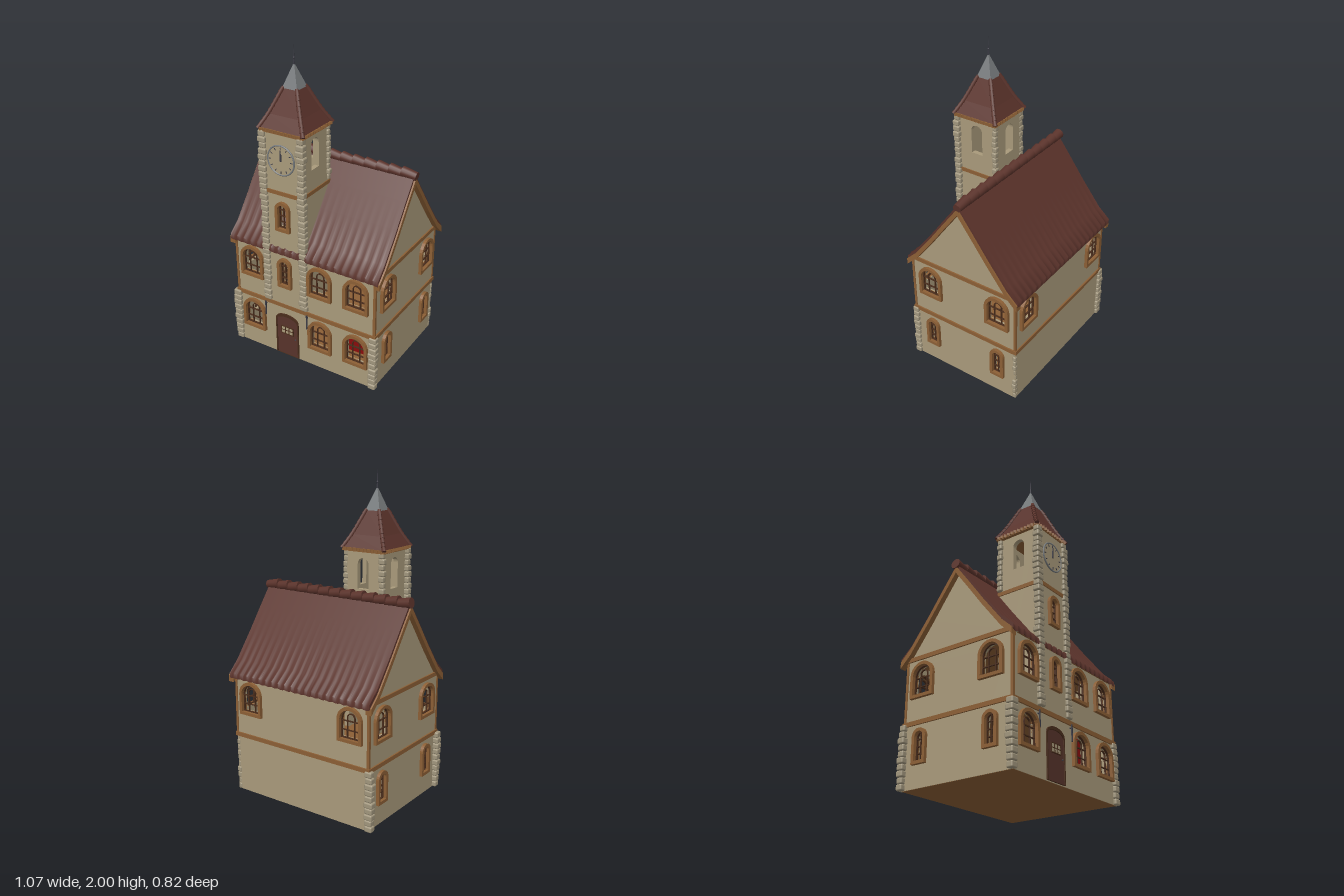
import * as THREE from 'three';
import { toCreasedNormals } from 'three/addons/utils/BufferGeometryUtils.js';
import { RoundedBoxGeometry } from 'three/addons/geometries/RoundedBoxGeometry.js';

const mat = (name, color) => Object.assign(new THREE.MeshStandardMaterial({ color }), { name });
const M = {
  wall: mat('plaster', 0xa99a7b), roof: mat('roof tile', 0x5b332b), trim: mat('timber trim', 0x8c5f35),
  bar: mat('dark wood', 0x4a2d1c), stone: mat('stone', 0xa1967d), metal: mat('grey metal', 0x777b7d),
  door: mat('door wood', 0x57332b), red: mat('red cloth', 0x8a0c0c), dark: mat('dark iron', 0x3c3c46),
};
let seed = 7;
const rnd = () => (seed = (seed * 16807) % 2147483647) / 2147483647 - 0.5;

function add(parent, name, geo, material, x = 0, y = 0, z = 0) {
  const m = new THREE.Mesh(geo, material);
  m.name = name;
  m.position.set(x, y, z);
  parent.add(m);
  return m;
}
const box = (parent, name, material, w, h, d, x, y, z) =>
  add(parent, name, new THREE.BoxGeometry(w, h, d), material, x, y, z);
const extrude = (shape, depth) => new THREE.ExtrudeGeometry(shape, { depth, bevelEnabled: false });

// Arched outline with its foot at (x, y)
function archPoints(x, y, w, h, rise = w * 0.48) {
  const pts = [new THREE.Vector2(x - w / 2, y), new THREE.Vector2(x + w / 2, y)];
  for (let i = 0; i <= 12; i++) {
    const a = (i / 12) * Math.PI;
    pts.push(new THREE.Vector2(x + Math.cos(a) * w / 2, y + h - rise + Math.sin(a) * rise));
  }
  return pts;
}
// Arched ring of even thickness t lying inside w by h
function archRing(x, y, w, h, t, depth) {
  const s = new THREE.Shape(archPoints(x, y, w, h));
  s.holes.push(new THREE.Path(archPoints(x, y + t, w - 2 * t, h - 2 * t)));
  return extrude(s, depth);
}

// Group whose local +z points outward from a wall plane
function face(parent, name, angle, cx, cz, dist) {
  const g = new THREE.Group();
  g.name = name;
  g.rotation.y = angle;
  g.position.set(cx + Math.sin(angle) * dist, 0, cz + Math.cos(angle) * dist);
  parent.add(g);
  return g;
}

function wall(g, w, y0, y1, holes) {
  const s = new THREE.Shape([[-w / 2, y0], [w / 2, y0], [w / 2, y1], [-w / 2, y1]].map(p => new THREE.Vector2(...p)));
  for (const o of holes) s.holes.push(new THREE.Path(archPoints(o.x, o.y, o.w, o.h, o.rise)));
  add(g, 'wall', extrude(s, 0.03), M.wall, 0, 0, -0.03);
}

function windowUnit(g, { x, y, w, h }) {
  const f = 0.019;
  add(g, 'windowFrame', archRing(x, y - f, w + 2 * f, h + 2 * f, f, 0.045), M.trim, 0, 0, -0.025);
  add(g, 'windowSash', archRing(x, y, w, h, 0.005, 0.012), M.bar, 0, 0, -0.012);
  const wide = w > 0.1;
  if (wide) add(g, 'innerArch', archRing(x, y + h * 0.58, w * 0.42, h * 0.28, 0.005, 0.01), M.bar, 0, 0, -0.011);
  for (const bx of wide ? [-w * 0.19, w * 0.19] : [0])
    box(g, 'mullion', M.bar, 0.005, h * (wide ? 0.62 : 0.97), 0.01, x + bx, y + h * (wide ? 0.31 : 0.485), -0.006);
  for (const t of wide ? [0.28, 0.59] : [0.25, 0.5, 0.75])
    box(g, 'glazingBar', M.bar, w, 0.005, 0.01, x, y + h * t, -0.006);
}

// Stack of uneven corner stones
function quoins(parent, name, x, z, y0, y1, size) {
  const g = new THREE.Group();
  g.name = name;
  const n = Math.round((y1 - y0) / 0.036), step = (y1 - y0) / n;
  for (let i = 0; i < n; i++) {
    const s = size + rnd() * 0.012;
    add(g, 'cornerStone', new RoundedBoxGeometry(s, step * 0.97, s * 0.85, 2, 0.009), M.stone,
      x + rnd() * 0.006, y0 + (i + 0.5) * step, z + rnd() * 0.004);
  }
  parent.add(g);
}

// Main roof section, given as [distance from ridge, height]
const ROOF = [[0.402, 0.778], [0.33, 0.845], [0.2, 1.01], [0.1, 1.145], [0, 1.277]];
const slope = drop => [
  ...ROOF.map(([z, y]) => new THREE.Vector2(z, y - drop)),
  ...ROOF.slice(0, -1).reverse().map(([z, y]) => new THREE.Vector2(-z, y - drop))];
const band = (a, b) => new THREE.Shape([...slope(a), ...slope(b).reverse()]);
const alongX = (geo, x) => geo.rotateY(-Math.PI / 2).translate(x, 0, 0);

function mainRoof(root) {
  const g = new THREE.Group();
  g.name = 'mainRoof';
  g.position.z = -0.007;
  root.add(g);
  // Tiles ripple only near the eaves
  const slab = new THREE.ExtrudeGeometry(band(0, 0.03), { depth: 1.036, steps: 126, bevelEnabled: false });
  alongX(slab, 0.518);
  const p = slab.attributes.position;
  for (let i = 0; i < p.count; i++) {
    const k = (Math.abs(p.getZ(i)) / 0.402) ** 8;
    const wave = Math.abs(Math.sin((p.getX(i) + 0.518) * Math.PI * 20));
    p.setY(i, p.getY(i) - 0.008 * k * wave);
    p.setZ(i, p.getZ(i) + Math.sign(p.getZ(i)) * 0.006 * k * (1 - wave));
  }
  slab.deleteAttribute('normal');
  add(g, 'roofTiles', toCreasedNormals(slab, 0.9), M.roof);
  for (const x of [0.528, -0.488]) add(g, 'vergeBoard', alongX(extrude(band(0.022, 0.062), 0.04), x), M.trim);
  for (const x of [0.495, -0.465]) add(g, 'gableWall', alongX(extrude(new THREE.Shape(slope(0.03)), 0.03), x), M.wall);
  for (let i = 0; i < 13; i++) {
    const t = add(g, 'ridgeTile', new THREE.CylinderGeometry(0.026, 0.032, 0.094, 14), M.roof, -0.482 + i * 0.0805, 1.27, -0.004);
    t.rotation.z = -Math.PI / 2 - 0.14;
  }
}

function towerRoof(root, cx, cz) {
  const g = new THREE.Group();
  g.name = 'towerRoof';
  g.position.set(cx, 0, cz);
  root.add(g);
  const prof = [[0.15, 1.532], [0.108, 1.61], [0.045, 1.757]];
  const pyramid = pts => {
    const geo = new THREE.LatheGeometry(pts.map(([r, y]) => new THREE.Vector2(r * Math.SQRT2, y)), 4, Math.PI / 4).toNonIndexed();
    geo.computeVertexNormals();
    return geo;
  };
  add(g, 'towerTiles', pyramid(prof), M.roof);
  add(g, 'metalCap', pyramid([[0.05, 1.752], [0.003, 1.885]]), M.metal);
  add(g, 'spire', new THREE.CylinderGeometry(0.001, 0.005, 0.12, 8), M.dark, 0, 1.935, 0);
  add(g, 'spireBall', new THREE.SphereGeometry(0.006, 10, 8), M.dark, 0, 1.92, 0);
  box(g, 'eaveBoard', M.trim, 0.302, 0.02, 0.302, 0, 1.524, 0);
  const path = new THREE.CatmullRomCurve3(prof.map(([r, y]) => new THREE.Vector3(r, y, r)));
  for (let k = 0; k < 4; k++) {
    const side = new THREE.Group();
    side.name = 'roofSide';
    side.rotation.y = k * Math.PI / 2;
    g.add(side);
    // Toothed eave trim
    for (let i = 0; i < 12; i++)
      box(side, 'eaveTooth', M.trim, 0.016, 0.018, 0.016, -0.138 + i * 0.025, 1.527, 0.149).rotation.y = Math.PI / 4;
    // Hip tiles up each corner
    for (let i = 0; i < 9; i++) {
      const u = (i + 0.5) / 9;
      const t = add(side, 'hipTile', new THREE.CylinderGeometry(0.01, 0.014, 0.037, 8), M.roof);
      t.position.copy(path.getPointAt(u));
      t.quaternion.setFromUnitVectors(new THREE.Vector3(0, 1, 0), path.getTangentAt(u));
    }
  }
}

function clock(g) {
  const c = new THREE.Group();
  c.name = 'clock';
  c.position.set(0, 1.362, 0.004);
  g.add(c);
  add(c, 'clockFace', new THREE.CylinderGeometry(0.09, 0.09, 0.008, 40).rotateX(Math.PI / 2), M.wall);
  add(c, 'clockRim', new THREE.TorusGeometry(0.09, 0.005, 8, 48), M.metal, 0, 0, 0.003);
  for (let i = 0; i < 12; i++) {
    const a = i * Math.PI / 6;
    box(c, 'hourMark', M.dark, 0.004, 0.014, 0.004, Math.sin(a) * 0.073, Math.cos(a) * 0.073, 0.005).rotation.z = -a;
  }
  box(c, 'minuteHand', M.dark, 0.005, 0.07, 0.004, 0, 0.03, 0.008);
  box(c, 'hourHand', M.dark, 0.009, 0.045, 0.004, 0, 0.018, 0.006);
}

export function createModel() {
  const root = new THREE.Group();
  root.name = 'clockTowerHouse';
  const TX = -0.124, TZ = 0.24, H = Math.PI / 2;
  const win = (x, y) => ({ x, y, w: 0.13, h: 0.176 });
  const slit = (x, y, h = 0.165) => ({ x, y, w: 0.06, h });
  const LOW = 0.15, UP = 0.535;

  // House walls
  const doorHole = { x: TX, y: 0.005, w: 0.155, h: 0.295, rise: 0.04 };
  const frontWins = [win(-0.37, LOW), win(0.12, LOW), win(0.37, LOW), win(-0.37, UP), win(0.12, UP), win(0.37, UP), slit(TX, UP)];
  const sides = [
    ['frontFacade', 0, 0.38, 0.99, frontWins, [doorHole]],
    ['backFacade', Math.PI, 0.38, 0.99, [win(-0.37, UP), win(0.37, UP)], []],
    ...[1, -1].map(s => [s > 0 ? 'leftFacade' : 'rightFacade', s * H, 0.495, 0.76,
      [win(-s * 0.24, UP), win(s * 0.253, UP), slit(-s * 0.24, LOW), slit(s * 0.253, LOW)], []]),
  ];
  for (const [name, angle, dist, w, wins, extra] of sides) {
    const g = face(root, name, angle, 0, 0, dist);
    wall(g, w, 0, 0.78, [...wins, ...extra]);
    wins.forEach(o => windowUnit(g, o));
  }

  // Floors, whose edges show as timber bands, and corner posts
  box(root, 'groundFloor', M.trim, 0.985, 0.01, 0.755, 0, 0.004, 0);
  box(root, 'lowerBand', M.trim, 1.008, 0.026, 0.778, 0, 0.372, 0);
  box(root, 'upperBand', M.trim, 1.008, 0.026, 0.778, 0, 0.762, 0);
  for (const sx of [1, -1]) for (const sz of [1, -1])
    box(root, 'cornerPost', M.trim, 0.016, 0.38, 0.016, sx * 0.491, 0.57, sz * 0.376);
  for (const [x, z, size] of [[-0.5, 0.376, 0.054], [0.488, 0.376, 0.052], [-0.5, -0.376, 0.052], [0.486, -0.371, 0.028]])
    quoins(root, 'houseQuoins', x, z, 0, 0.372, size);

  // Interior lining and hangings
  for (const x of [-0.37, 0.37]) box(root, 'lowerPanelling', M.trim, 0.16, 0.34, 0.008, x, 0.185, -0.342);
  box(root, 'upperPost', M.trim, 0.05, 0.36, 0.02, 0.125, 0.57, -0.335);
  box(root, 'redHanging', M.red, 0.14, 0.34, 0.12, 0.225, 0.18, 0.08);
  box(root, 'redCurtain', M.red, 0.06, 0.24, 0.01, 0.18, 0.235, 0.32);

  // Door
  const door = face(root, 'door', 0, TX, 0, 0.38);
  add(door, 'doorLeaf', extrude(new THREE.Shape(archPoints(0, 0.005, 0.155, 0.285, 0.035)), 0.02), M.door, 0, 0, -0.018);
  const jamb = new THREE.Shape(archPoints(0, 0.005, 0.168, 0.305, 0.045));
  jamb.holes.push(new THREE.Path(archPoints(0, 0.006, 0.152, 0.285, 0.035)));
  add(door, 'doorFrame', extrude(jamb, 0.02), M.bar, 0, 0, -0.012);
  box(door, 'doorPane', M.wall, 0.085, 0.05, 0.006, 0, 0.19, 0.003);
  for (const x of [-0.043, -0.014, 0.014, 0.043]) box(door, 'paneBar', M.bar, 0.006, 0.055, 0.008, x, 0.19, 0.004);
  for (const y of [0.164, 0.19, 0.216]) box(door, 'paneRail', M.bar, 0.09, 0.005, 0.008, 0, y, 0.004);
  add(door, 'doorKnob', new THREE.SphereGeometry(0.005, 8, 6), M.dark, 0.06, 0.14, 0.006);
  for (const x of [-0.278, 0.028]) {
    box(root, 'wallRod', M.dark, 0.007, 0.1, 0.007, x, 0.315, 0.392);
    box(root, 'rodBracket', M.dark, 0.007, 0.007, 0.02, x, 0.345, 0.385);
  }

  // Tower
  const tower = new THREE.Group();
  tower.name = 'tower';
  root.add(tower);
  const front = face(tower, 'towerFront', 0, TX, TZ, 0.145);
  const towerWins = [slit(0, UP), slit(0, 0.925, 0.155)];
  wall(front, 0.26, 0.385, 1.53, towerWins);
  towerWins.forEach(o => windowUnit(front, o));
  clock(front);
  const belfry = [{ x: 0, y: 1.288, w: 0.078, h: 0.19 }];
  wall(face(tower, 'towerLeft', H, TX, TZ, 0.13), 0.288, 0.385, 1.53, belfry);
  wall(face(tower, 'towerRight', -H, TX, TZ, 0.13), 0.288, 0.385, 1.53, belfry);
  wall(face(tower, 'towerBack', Math.PI, TX, TZ, 0.145), 0.26, 0.785, 1.53, belfry);
  box(tower, 'towerBand', M.trim, 0.272, 0.024, 0.302, TX, 1.15, TZ);
  for (const s of [1, -1]) {
    quoins(tower, 'towerFrontQuoins', TX + s * 0.13, TZ + 0.14, 0.39, 1.52, 0.05);
    quoins(tower, 'towerBackQuoins', TX + s * 0.128, TZ - 0.134, 1.165, 1.52, 0.038);
  }

  mainRoof(root);
  towerRoof(root, TX, TZ);
  return root;
}
